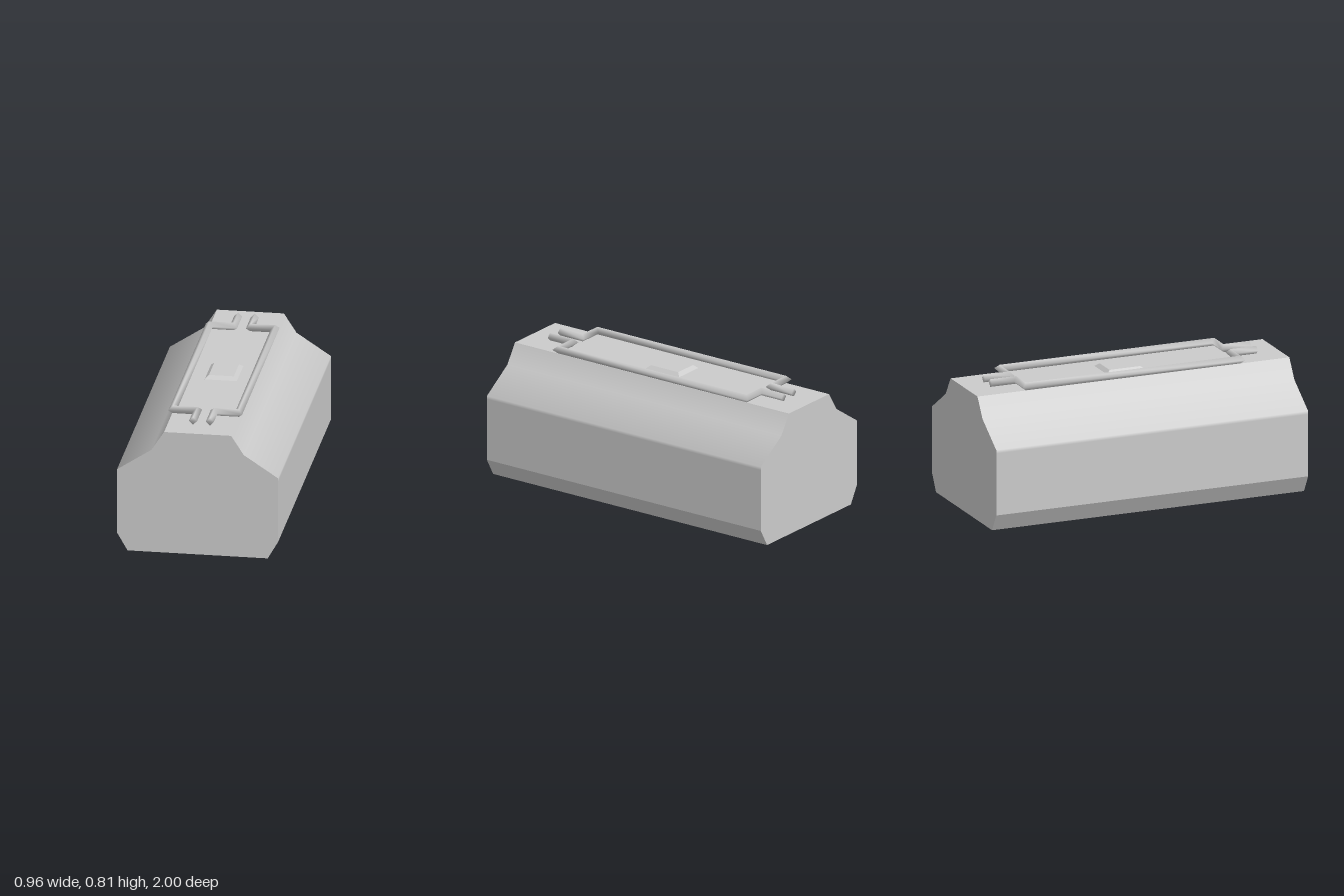
import * as THREE from 'three';

const grey = new THREE.MeshStandardMaterial({ color: 0xcccccc });
const ROOF = 0.762;

function part(name, geometry) {
  const mesh = new THREE.Mesh(geometry, grey);
  mesh.name = name;
  return mesh;
}

// Long hull: mirrored profile extruded along z, with softly shaded shoulders
function hullGeometry() {
  const half = [[0.418, 0], [0.48, 0.108], [0.48, 0.49], [0.48, 0.51], [0.275, 0.645], [0.2, ROOF]];
  const mirrored = half.map(([x, y]) => [-x, y]).reverse();
  const outline = [...half, ...mirrored].map(([x, y]) => new THREE.Vector2(x, y));
  const geo = new THREE.ExtrudeGeometry(new THREE.Shape(outline), { depth: 2, bevelEnabled: false });
  geo.translate(0, 0, -1);

  // Blend the normals at the two shoulder edges; all other edges stay sharp
  const soft = { 0.51: [0.88, 0.48], 0.645: [0.71, 0.7] };
  const pos = geo.attributes.position, nor = geo.attributes.normal;
  for (let i = 0; i < pos.count; i++) {
    if (Math.abs(nor.getZ(i)) > 0.5) continue;
    for (const [y, n] of Object.entries(soft)) {
      if (Math.abs(pos.getY(i) - Number(y)) < 0.001) nor.setXYZ(i, Math.sign(pos.getX(i)) * n[0], n[1], 0);
    }
  }
  return geo;
}

// Diamond-section rail swept along a flat path with mitred corners
function railGeometry(path, r, y) {
  const sides = path.slice(1).map(([x, z], i) => {
    const d = new THREE.Vector2(x - path[i][0], z - path[i][1]).normalize();
    return new THREE.Vector2(d.y, -d.x);
  });
  const points = [], index = [];
  path.forEach(([x, z], i) => {
    const a = sides[Math.max(i - 1, 0)], b = sides[Math.min(i, sides.length - 1)];
    const n = a.clone().add(b).multiplyScalar(r / (1 + a.dot(b)));
    points.push(x + n.x, y, z + n.y, x, y + r, z, x - n.x, y, z - n.y, x, y - r, z);
    if (i === 0) return;
    for (let j = 0; j < 4; j++) {
      const k = (j + 1) % 4, p = 4 * (i - 1), q = 4 * i;
      index.push(p + j, p + k, q + k, p + j, q + k, q + j);
    }
  });
  const e = 4 * (path.length - 1);
  index.push(0, 2, 1, 0, 3, 2, e, e + 1, e + 2, e, e + 2, e + 3);
  const geo = new THREE.BufferGeometry();
  geo.setAttribute('position', new THREE.Float32BufferAttribute(points, 3));
  geo.setIndex(index);
  geo.computeVertexNormals();
  return geo;
}

// Low block with its top face drawn inward
function hatchGeometry() {
  const geo = new THREE.BoxGeometry(0.196, 0.022, 0.25);
  const pos = geo.attributes.position;
  for (let i = 0; i < pos.count; i++) {
    if (pos.getY(i) < 0) continue;
    pos.setX(i, Math.sign(pos.getX(i)) * 0.074);
    pos.setZ(i, Math.sign(pos.getZ(i)) * 0.099);
  }
  geo.computeVertexNormals();
  return geo;
}

export function createModel() {
  const model = new THREE.Group();
  model.name = 'ridgedContainer';
  model.add(part('hull', hullGeometry()));

  // Pair of roof rails, each the other turned half way round
  const path = [[0.05, -0.853], [0.05, -0.688], [0.196, -0.688], [0.196, 0.688], [0.05, 0.688], [0.05, 0.853]];
  const rail = railGeometry(path, 0.024, 0.785);
  const left = part('leftRail', rail);
  const right = part('rightRail', rail);
  right.rotation.y = Math.PI;
  model.add(left, right);

  const hatch = part('roofHatch', hatchGeometry());
  hatch.position.y = ROOF + 0.009;
  model.add(hatch);
  return model;
}
